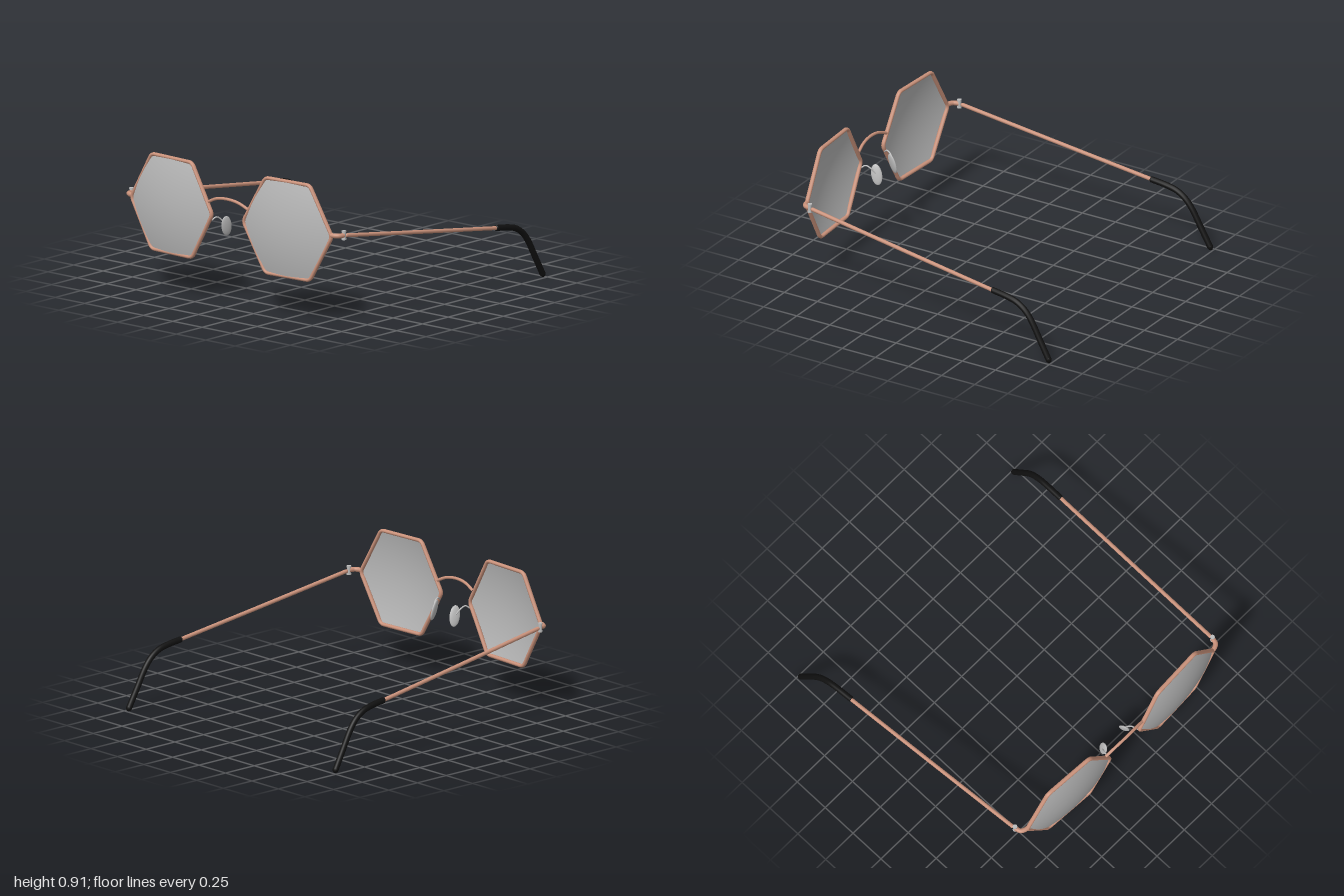
import * as THREE from 'three';

const copper = new THREE.MeshStandardMaterial({ color: 0xc9917a });
copper.name = 'copper';
const silver = new THREE.MeshStandardMaterial({ color: 0xbcbcbc });
silver.name = 'silver';
const black = new THREE.MeshStandardMaterial({ color: 0x101010 });
black.name = 'black';
const glass = new THREE.MeshStandardMaterial({ color: 0xb8b8b8, side: THREE.DoubleSide });
glass.name = 'greyGlass';

function add(parent, name, geometry, material) {
  const mesh = new THREE.Mesh(geometry, material);
  mesh.name = name;
  parent.add(mesh);
  return mesh;
}

// Smooth curve through points, with x mirrored by side
const path = (side, pts) =>
  new THREE.CatmullRomCurve3(pts.map(([x, y, z]) => new THREE.Vector3(side * x, y, z)));

const tube = (curve, radius, segments = 32) => new THREE.TubeGeometry(curve, segments, radius, 12);

function ball(parent, name, position, radius, material) {
  const mesh = add(parent, name, new THREE.SphereGeometry(radius, 16, 12), material);
  mesh.position.copy(position);
  return mesh;
}

// Hexagon with filleted corners, one corner pointing along x
function roundedHexagon(circumradius, fillet) {
  const pts = [];
  const reach = circumradius - fillet / Math.cos(Math.PI / 6);
  for (let k = 0; k < 6; k++) {
    const a = (k * Math.PI) / 3;
    const centre = new THREE.Vector3(Math.cos(a) * reach, Math.sin(a) * reach, 0);
    const arc = [];
    for (let j = -2; j <= 2; j++) {
      const b = a + (j * Math.PI) / 12;
      arc.push(new THREE.Vector3(Math.cos(b), Math.sin(b), 0).multiplyScalar(fillet).add(centre));
    }
    if (pts.length) {
      const last = pts[pts.length - 1].clone();
      for (const t of [0.1, 0.5, 0.9]) pts.push(last.clone().lerp(arc[0], t));
    }
    pts.push(...arc);
  }
  const last = pts[pts.length - 1].clone();
  for (const t of [0.1, 0.5, 0.9]) pts.push(last.clone().lerp(pts[0], t));
  return new THREE.CatmullRomCurve3(pts, true);
}

// Domed lens: outline scaled into rings and pushed forward towards the middle
function lensGeometry(outline, bulge) {
  const rings = 14, n = 180;
  const edge = outline.getSpacedPoints(n).slice(0, n);
  const pos = [0, 0, bulge], index = [];
  for (let i = 1; i <= rings; i++) {
    for (const p of edge) {
      const x = (p.x * i) / rings, y = (p.y * i) / rings;
      pos.push(x, y, bulge * (1 - (x * x + y * y) / 0.126));
    }
  }
  for (let j = 0; j < n; j++) {
    const k = (j + 1) % n;
    index.push(0, 1 + j, 1 + k);
    for (let i = 0; i < rings - 1; i++) {
      const a = 1 + i * n + j, b = 1 + i * n + k;
      index.push(a, a + n, b + n, a, b + n, b);
    }
  }
  const g = new THREE.BufferGeometry();
  g.setAttribute('position', new THREE.Float32BufferAttribute(pos, 3));
  g.setIndex(index);
  g.computeVertexNormals();
  return g;
}

function buildSide(side) {
  const group = new THREE.Group();
  group.name = side > 0 ? 'leftSide' : 'rightSide';

  // Rim and lens, wrapped slightly around the face
  const eye = new THREE.Group();
  eye.name = 'eyepiece';
  eye.position.set(side * 0.4925, 0.585, 0.945);
  eye.rotation.y = side * 0.055;
  group.add(eye);
  const rim = add(eye, 'rim', tube(roundedHexagon(0.361, 0.045), 0.012, 180), copper);
  rim.geometry.scale(1, 1, 1.2);
  add(eye, 'lens', lensGeometry(roundedHexagon(0.356, 0.045), 0.052), glass);

  // End piece curving back to the hinge
  const endPath = path(side, [[0.845, 0.595, 0.926], [0.872, 0.595, 0.92], [0.894, 0.595, 0.905], [0.904, 0.595, 0.87]]);
  add(group, 'endPiece', tube(endPath, 0.016, 20), copper);

  // Hinge barrel with caps
  const hinge = add(group, 'hinge', new THREE.CylinderGeometry(0.012, 0.012, 0.056, 16), silver);
  hinge.position.set(side * 0.904, 0.595, 0.868);
  for (const y of [0.57, 0.62]) {
    const cap = add(group, 'hingeCap', new THREE.CylinderGeometry(0.015, 0.015, 0.01, 16), silver);
    cap.position.set(side * 0.904, y, 0.868);
  }

  // Temple arm
  const armPath = path(side, [[0.906, 0.591, 0.845], [0.933, 0.493, 0.15], [0.96, 0.395, -0.56]]);
  add(group, 'temple', tube(armPath, 0.013), copper);
  ball(group, 'templeEnd', armPath.getPoint(0), 0.013, copper);

  // Ear tip, bent down behind the ear
  const tipPath = path(side, [
    [0.959, 0.397, -0.55], [0.963, 0.382, -0.66], [0.966, 0.364, -0.73], [0.968, 0.327, -0.79],
    [0.97, 0.27, -0.84], [0.973, 0.14, -0.914], [0.976, 0.025, -0.978],
  ]);
  add(group, 'earTip', tube(tipPath, 0.02, 48), black);
  ball(group, 'earTipStart', tipPath.getPoint(0), 0.02, black).scale.z = 0.5;
  const end = ball(group, 'earTipEnd', tipPath.getPoint(1), 0.02, black);
  end.scale.y = 1.35;
  end.rotation.x = 0.5;

  // Nose pad on a wire
  const padArm = path(side, [[0.143, 0.545, 0.957], [0.13, 0.563, 0.93], [0.122, 0.55, 0.9], [0.104, 0.51, 0.87]]);
  add(group, 'padArm', tube(padArm, 0.005, 24), silver);
  const pad = add(group, 'nosePad', new THREE.SphereGeometry(1, 24, 16), silver);
  pad.scale.set(0.012, 0.07, 0.036);
  pad.position.set(side * 0.096, 0.5, 0.868);
  pad.rotation.set(0.2, side * 0.4, side * 0.12);
  return group;
}

export function createModel() {
  const model = new THREE.Group();
  model.name = 'eyeglasses';
  model.add(buildSide(1), buildSide(-1));

  // Arched bridge between the rims
  const bridge = path(1, [
    [-0.168, 0.665, 0.96], [-0.09, 0.698, 0.969], [0, 0.709, 0.973], [0.09, 0.698, 0.969], [0.168, 0.665, 0.96],
  ]);
  add(model, 'bridge', tube(bridge, 0.01, 40), copper);
  return model;
}
